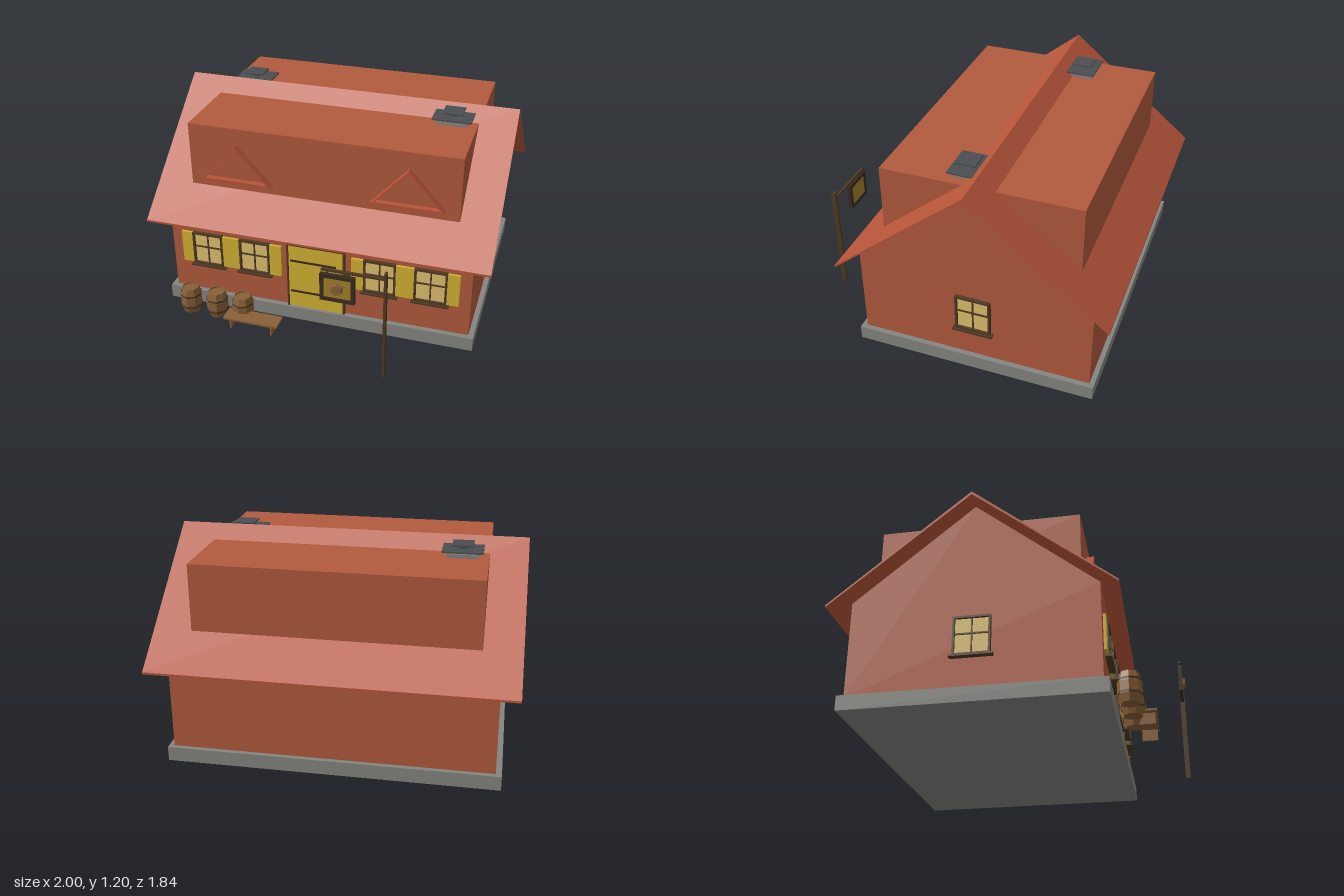
import * as THREE from 'three';

const mat = (color) => new THREE.MeshStandardMaterial({ color, flatShading: true, side: THREE.DoubleSide });
const M = {
  wall: mat(0xb25a3e), roof: mat(0xb8553a), stone: mat(0x858580), slate: mat(0x4a4e50),
  yellow: mat(0xd2b232), pane: mat(0xe0c070), trim: mat(0x4f3a22), wood: mat(0x8a6038),
  dark: mat(0x3a2a20), gold: mat(0xa08028),
};

function add(parent, name, geo, material, x = 0, y = 0, z = 0) {
  const mesh = new THREE.Mesh(geo, material);
  mesh.name = name;
  mesh.position.set(x, y, z);
  parent.add(mesh);
  return mesh;
}

// Box given by its lower and upper bounds on each axis
function box(parent, name, material, [x0, x1], [y0, y1], [z0, z1]) {
  return add(parent, name, new THREE.BoxGeometry(x1 - x0, y1 - y0, z1 - z0), material,
    (x0 + x1) / 2, (y0 + y1) / 2, (z0 + z1) / 2);
}

const polygon = (pts) => new THREE.Shape(pts.map(([a, b]) => new THREE.Vector2(a, b)));

// Profile of [z, y] points swept along x from -half to +half
function sweepX(pts, half) {
  const geo = new THREE.ExtrudeGeometry(polygon(pts.map(([z, y]) => [-z, y])), { depth: 2 * half, bevelEnabled: false });
  return geo.translate(0, 0, -half).rotateY(Math.PI / 2);
}

// Four-light window facing +z, centred on its own origin
function makeWindow(w, h) {
  const g = new THREE.Group();
  g.name = 'window';
  const a = w / 2, b = h / 2, t = 0.012;
  box(g, 'pane', M.pane, [-a, a], [-b, b], [-0.005, 0.008]);
  for (const s of [-1, 1]) {
    box(g, 'frameSide', M.trim, [s * a - t / 2, s * a + t / 2], [-b, b], [0, 0.022]);
    box(g, 'frameRail', M.trim, [-a - t / 2, a + t / 2], [s * b - t / 2, s * b + t / 2], [0, 0.022]);
  }
  box(g, 'mullion', M.trim, [-0.004, 0.004], [-b, b], [0, 0.015]);
  box(g, 'crossBar', M.trim, [-a, a], [0.008, 0.016], [0, 0.015]);
  box(g, 'sill', M.trim, [-a - 0.02, a + 0.02], [-b - 0.016, -b - 0.006], [0, 0.035]);
  return g;
}

// Triangular frame with a recessed panel on the dormer front
function makeGable() {
  const g = new THREE.Group();
  g.name = 'gableFrame';
  const outer = polygon([[-0.21, -0.015], [0.21, -0.015], [0, 0.215]]);
  outer.holes.push(polygon([[-0.185, 0], [0, 0.19], [0.185, 0]]));
  add(g, 'gableTrim', new THREE.ExtrudeGeometry(outer, { depth: 0.045, bevelEnabled: false }), M.roof);
  add(g, 'gablePanel', new THREE.ShapeGeometry(polygon([[-0.19, 0], [0.19, 0], [0, 0.195]])), M.wall, 0, 0, 0.012);
  return g;
}

// Low stack with cap plates
function makeChimney() {
  const g = new THREE.Group();
  g.name = 'chimney';
  box(g, 'stack', M.stone, [-0.085, 0.085], [1.1, 1.146], [-0.065, 0.065]);
  box(g, 'flue', M.slate, [-0.02, 0.02], [1.14, 1.19], [-0.02, 0.02]);
  box(g, 'lowerCap', M.slate, [-0.113, 0.113], [1.156, 1.164], [-0.085, 0.085]);
  box(g, 'upperCap', M.slate, [-0.058, 0.058], [1.187, 1.195], [-0.056, 0.056]);
  return g;
}

function makeBarrel() {
  const g = new THREE.Group();
  g.name = 'barrel';
  const prof = [[0, 0], [0.048, 0], [0.064, 0.055], [0.064, 0.11], [0.05, 0.165], [0.044, 0.165], [0.044, 0.155], [0, 0.155]];
  add(g, 'staves', new THREE.LatheGeometry(prof.map(([r, y]) => new THREE.Vector2(r, y)), 8), M.wood);
  for (const y of [0.045, 0.12])
    add(g, 'hoop', new THREE.CylinderGeometry(0.065, 0.065, 0.012, 8, 1, true), M.trim, 0, y, 0);
  return g;
}

function makeBench() {
  const g = new THREE.Group();
  g.name = 'bench';
  box(g, 'benchSeat', M.wood, [-0.5, -0.17], [0.062, 0.074], [0.65, 0.755]);
  for (const x of [-0.46, -0.21]) box(g, 'benchLeg', M.wood, [x - 0.005, x + 0.005], [0, 0.064], [0.66, 0.745]);
  return g;
}

function makeSign() {
  const g = new THREE.Group();
  g.name = 'hangingSign';
  box(g, 'post', M.trim, [0.492, 0.506], [0, 0.67], [0.88, 0.91]);
  box(g, 'arm', M.trim, [0.15, 0.5], [0.622, 0.634], [0.882, 0.898]);
  for (const x of [0.18, 0.295]) box(g, 'hanger', M.dark, [x - 0.003, x + 0.003], [0.595, 0.625], [0.887, 0.893]);
  box(g, 'board', M.gold, [0.15, 0.33], [0.445, 0.6], [0.885, 0.897]);
  for (const x of [0.143, 0.313]) box(g, 'boardSide', M.dark, [x, x + 0.022], [0.44, 0.605], [0.881, 0.903]);
  for (const y of [0.44, 0.583]) box(g, 'boardRail', M.dark, [0.143, 0.335], [y, y + 0.022], [0.881, 0.903]);
  const disc = new THREE.CylinderGeometry(0.032, 0.036, 0.025, 6).rotateX(Math.PI / 2);
  add(g, 'ornament', disc, M.wood, 0.237, 0.523, 0.906);
  return g;
}

export function createModel() {
  const house = new THREE.Group();
  house.name = 'house';

  // Plinth, walls and roof
  const ridge = -0.147;
  box(house, 'plinth', M.stone, [-0.928, 0.925], [0, 0.083], [-0.84, 0.55]);
  add(house, 'walls', sweepX([[0.52, 0.08], [0.52, 0.628], [ridge, 1.172], [-0.813, 0.628], [-0.813, 0.08]], 0.895), M.wall);
  add(house, 'roof', sweepX([[0.622, 0.562], [0.622, 0.574], [ridge, 1.2], [-0.918, 0.574], [-0.918, 0.562], [ridge, 1.182]], 1), M.roof);

  // Flat-topped dormer running through both slopes
  box(house, 'dormer', M.wall, [-0.79, 0.787], [0.72, 1.125], [-0.708, 0.413]);
  for (const x of [-0.5, 0.5]) {
    const gable = makeGable();
    gable.position.set(x, 0.815, 0.411);
    house.add(gable);
  }

  // Chimneys
  for (const [x, z] of [[0.645, -0.042], [-0.645, -0.293]]) {
    const chimney = makeChimney();
    chimney.position.set(x, 0, z);
    house.add(chimney);
  }

  // Front windows with shutters
  for (const s of [-1, 1]) {
    for (const x of [0.375, 0.667]) {
      const win = makeWindow(0.175, 0.2);
      win.position.set(s * x, 0.377, 0.52);
      house.add(win);
    }
    for (const [a, b] of [[0.21, 0.282], [0.468, 0.574], [0.76, 0.83]])
      box(house, 'shutter', M.yellow, s > 0 ? [a, b] : [-b, -a], [0.275, 0.477], [0.515, 0.536]);

    // Gable end window
    const side = makeWindow(0.19, 0.21);
    side.position.set(s * 0.895, 0.375, ridge);
    side.rotation.y = s * Math.PI / 2;
    house.add(side);
  }

  // Door with frame, strap hinges and handle
  const door = new THREE.Group();
  door.name = 'door';
  house.add(door);
  box(door, 'doorLeaf', M.yellow, [-0.165, 0.162], [0.083, 0.5], [0.51, 0.533]);
  box(door, 'doorLintel', M.trim, [-0.175, 0.172], [0.5, 0.512], [0.51, 0.54]);
  for (const x of [-0.175, 0.162]) box(door, 'doorJamb', M.trim, [x, x + 0.01], [0.083, 0.5], [0.51, 0.54]);
  for (const y of [0.19, 0.398]) box(door, 'strapHinge', M.dark, [-0.155, 0.12], [y - 0.005, y + 0.005], [0.53, 0.54]);
  box(door, 'doorHandle', M.dark, [0.115, 0.128], [0.27, 0.31], [0.53, 0.548]);

  // Yard pieces
  [-0.755, -0.587, -0.422].forEach((x, i) => {
    const barrel = makeBarrel();
    barrel.position.set(x, 0, 0.634);
    barrel.rotation.y = i * 0.35;
    house.add(barrel);
  });
  house.add(makeBench(), makeSign());
  return house;
}
